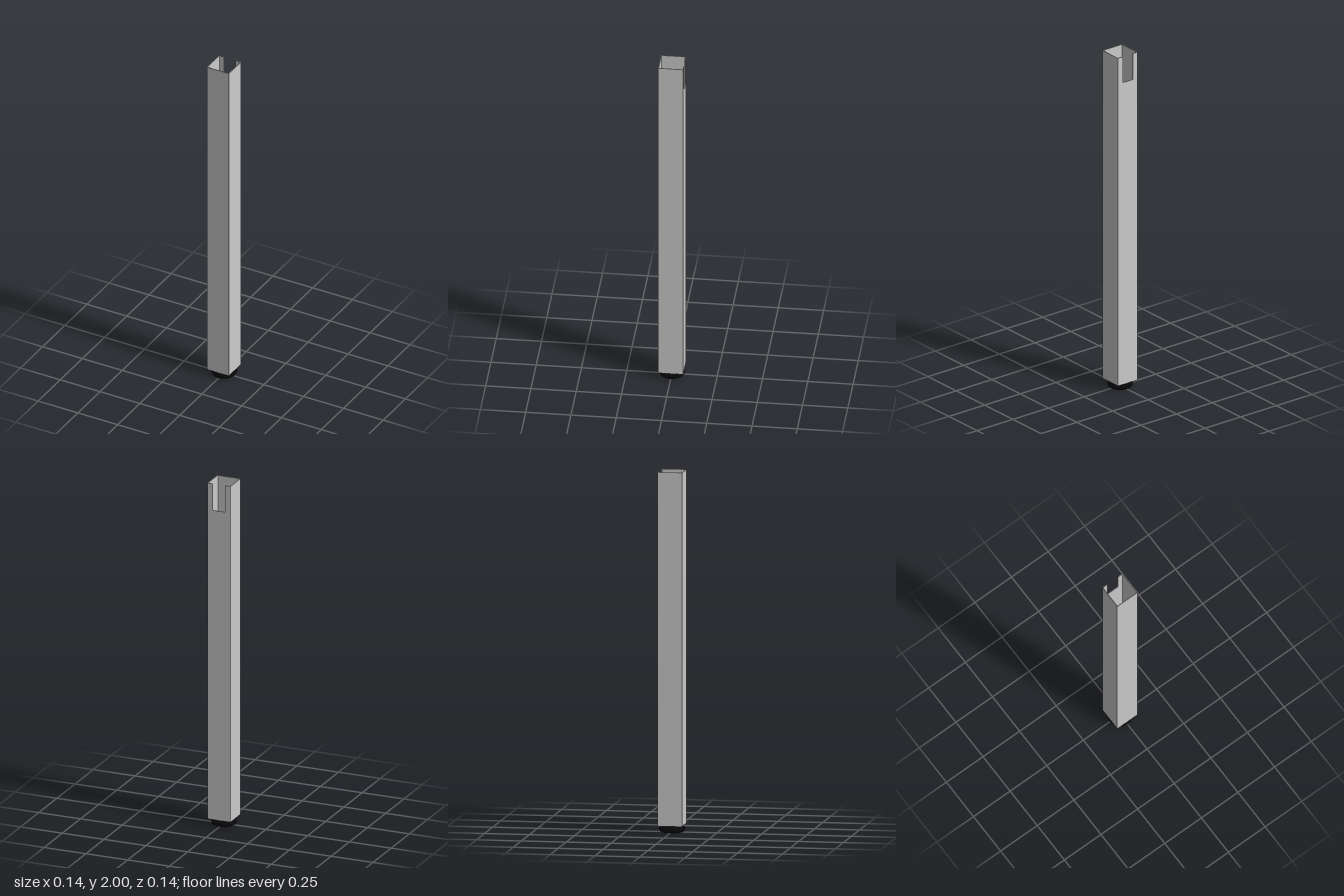
import * as THREE from 'three';

const H = 0.07, WALL = 0.004, BASE = 0.042, SLOT_Y = 1.845, SLOT = 0.036;

// Rounded square outline
function square(h, r, Type = THREE.Shape) {
  const s = new Type();
  s.absarc(h - r, h - r, r, 0, Math.PI / 2);
  s.absarc(-h + r, h - r, r, Math.PI / 2, Math.PI);
  s.absarc(-h + r, -h + r, r, Math.PI, Math.PI * 1.5);
  s.absarc(h - r, -h + r, r, Math.PI * 1.5, Math.PI * 2);
  s.closePath();
  return s;
}

// Extrude a plan outline upwards (outline +y points to the back)
function rise(shape, y0, y1) {
  const g = new THREE.ExtrudeGeometry(shape, { depth: y1 - y0, bevelEnabled: false, curveSegments: 4 });
  return g.rotateX(-Math.PI / 2).translate(0, y0, 0);
}

export function createModel() {
  const model = new THREE.Group();
  const grey = new THREE.MeshStandardMaterial({ color: 0xcccccc });
  const blue = new THREE.MeshStandardMaterial({ color: 0xb0c8e0 });
  const black = new THREE.MeshStandardMaterial({ color: 0x0a0a0a });
  const add = (parent, name, geometry, material) => {
    const m = new THREE.Mesh(geometry, material);
    m.name = name;
    parent.add(m);
  };

  // Square tube: closed ring below, open at the back above the slot
  const tube = new THREE.Group();
  tube.name = 'squareTube';
  const ring = square(H, 0.004);
  ring.holes.push(square(H - WALL, 0.001, THREE.Path));
  add(tube, 'closedTube', rise(ring, BASE, SLOT_Y), grey);

  const i = H - WALL, r = 0.004;
  const open = new THREE.Shape();
  open.moveTo(SLOT, i);
  open.lineTo(i, i);
  open.lineTo(i, -i);
  open.lineTo(-i, -i);
  open.lineTo(-i, i);
  open.lineTo(-SLOT, i);
  open.lineTo(-SLOT, H);
  open.absarc(-H + r, H - r, r, Math.PI / 2, Math.PI);
  open.absarc(-H + r, -H + r, r, Math.PI, Math.PI * 1.5);
  open.absarc(H - r, -H + r, r, Math.PI * 1.5, Math.PI * 2);
  open.absarc(H - r, H - r, r, 0, Math.PI / 2);
  open.lineTo(SLOT, H);
  open.closePath();
  add(tube, 'slottedTop', rise(open, SLOT_Y, 2), grey);
  model.add(tube);

  // End plug: floor plate and a ribbed block with eight pockets
  const plug = new THREE.Group();
  plug.name = 'endPlug';
  add(plug, 'plugFloor', rise(square(0.068, 0.004), 0.038, 0.046), blue);
  const ribs = square(0.0658, 0.001);
  const pocket = [[0.006, 0.028], [0.009, 0.025], [0.014, 0.025], [0.052, 0.063], [0.012, 0.063], [0.006, 0.056]];
  for (let q = 0; q < 4; q++) {
    const a = q * Math.PI / 2, c = Math.cos(a), s = Math.sin(a);
    for (const side of [1, -1]) {
      ribs.holes.push(new THREE.Path(pocket.map(([x, y]) =>
        new THREE.Vector2(side * x * c - y * s, side * x * s + y * c))));
    }
  }
  add(plug, 'plugRibs', rise(ribs, 0.046, 0.11), blue);
  model.add(plug);

  // Adjustable foot: rounded disc, threaded rod and hexagonal nut
  const foot = new THREE.Group();
  foot.name = 'adjustableFoot';
  const profile = [[0, 0], [0.06, 0], [0.066, 0.004], [0.07, 0.011], [0.07, 0.025], [0.067, 0.032], [0.06, 0.036], [0, 0.036]]
    .map(([x, y]) => new THREE.Vector2(x, y));
  add(foot, 'footDisc', new THREE.LatheGeometry(profile, 40), black);
  add(foot, 'footRod', new THREE.CylinderGeometry(0.008, 0.008, 0.082, 20).translate(0, 0.072, 0), grey);
  const nut = new THREE.Shape();
  for (let k = 0; k < 6; k++) {
    const a = Math.PI / 2 + k * Math.PI / 3;
    nut[k ? 'lineTo' : 'moveTo'](0.0135 * Math.cos(a), 0.0135 * Math.sin(a));
  }
  nut.closePath();
  nut.holes.push(new THREE.Path().absarc(0, 0, 0.008, 0, Math.PI * 2, true));
  add(foot, 'hexNut', rise(nut, 0.1, 0.116), black);
  model.add(foot);

  return model;
}
